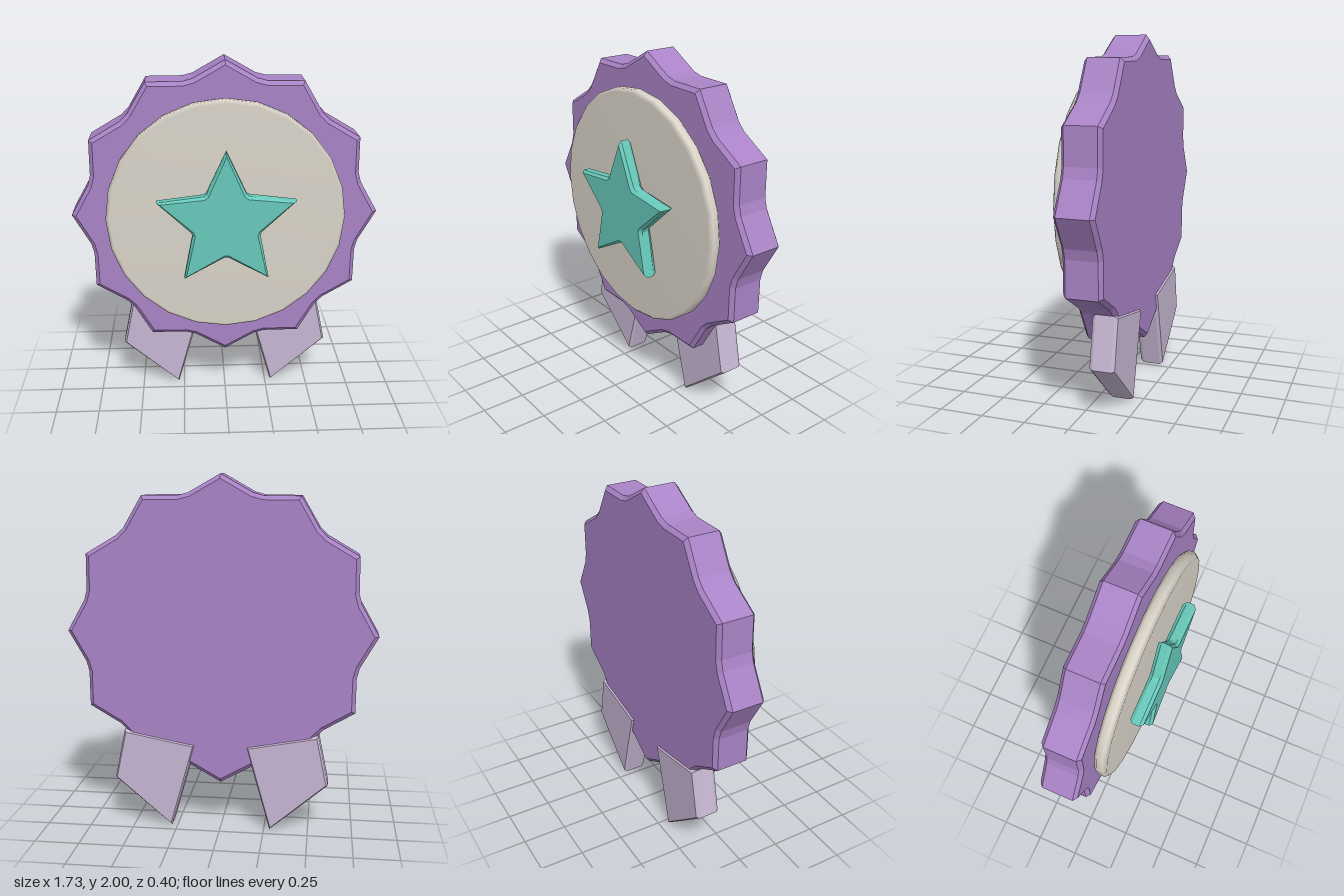
import * as THREE from 'three';

const CENTER_Y = 1.135;

const paint = (name, hex) => {
  const m = new THREE.MeshStandardMaterial({ color: hex });
  m.name = name;
  return m;
};

// Star outline with pointed tips and slightly softened valleys
function starShape(tips, outer, inner, soften) {
  const corner = (i) => {
    const a = Math.PI / 2 + (i * Math.PI) / tips;
    const r = i % 2 ? inner : outer;
    return new THREE.Vector2(r * Math.cos(a), r * Math.sin(a));
  };
  const pts = [];
  for (let i = 0; i < tips * 2; i += 2) {
    const valley = corner(i + 1);
    pts.push(corner(i));
    pts.push(valley.clone().lerp(corner(i), soften));
    pts.push(valley.clone().lerp(corner(i + 2), soften));
  }
  return new THREE.Shape(pts);
}

// Plate with chamfered edges spanning zBack..zFront
function plate(name, shape, zBack, zFront, size, thickness, material) {
  const geo = new THREE.ExtrudeGeometry(shape, {
    depth: zFront - zBack - 2 * thickness,
    bevelEnabled: true,
    bevelSegments: 1,
    bevelSize: size,
    bevelThickness: thickness,
  });
  geo.translate(0, 0, zBack + thickness);
  const mesh = new THREE.Mesh(geo, material);
  mesh.name = name;
  return mesh;
}

export function createModel() {
  const purple = paint('purple', 0xa983c6);
  const lavender = paint('lavender', 0xc6b6d2);
  const ivory = paint('ivory', 0xdad4c9);
  const teal = paint('teal', 0x68c9ba);

  const model = new THREE.Group();
  model.name = 'awardRosette';

  // Scalloped rosette
  const rosette = plate('rosette', starShape(12, 0.84, 0.755, 0.15), -0.19, 0.027, 0.022, 0.02, purple);
  rosette.position.y = CENTER_Y;
  model.add(rosette);

  // Round medallion with a soft rim
  const profile = [[0, 0.035], [0.65, 0.035], [0.67, 0.055], [0.67, 0.09], [0.65, 0.11], [0, 0.11]]
    .map(([r, h]) => new THREE.Vector2(r, h));
  const medallion = new THREE.Mesh(new THREE.LatheGeometry(profile, 24), ivory);
  medallion.name = 'medallion';
  medallion.rotation.x = Math.PI / 2;
  medallion.position.y = CENTER_Y;
  model.add(medallion);

  // Raised star
  const star = plate('star', starShape(5, 0.383, 0.178, 0.06), 0.122, 0.2, 0.015, 0.018, teal);
  star.position.y = CENTER_Y;
  model.add(star);

  // Ribbon tails, mirrored left and right
  const tail = [[0.542, 0.555], [0.158, 0.482], [0.287, 0.015], [0.598, 0.284]];
  for (const side of [1, -1]) {
    const pts = tail.map(([x, y]) => new THREE.Vector2(side * x, y));
    model.add(plate(side > 0 ? 'leftRibbonTail' : 'rightRibbonTail',
      new THREE.Shape(pts), -0.2, -0.06, 0.011, 0.018, lavender));
  }

  return model;
}
